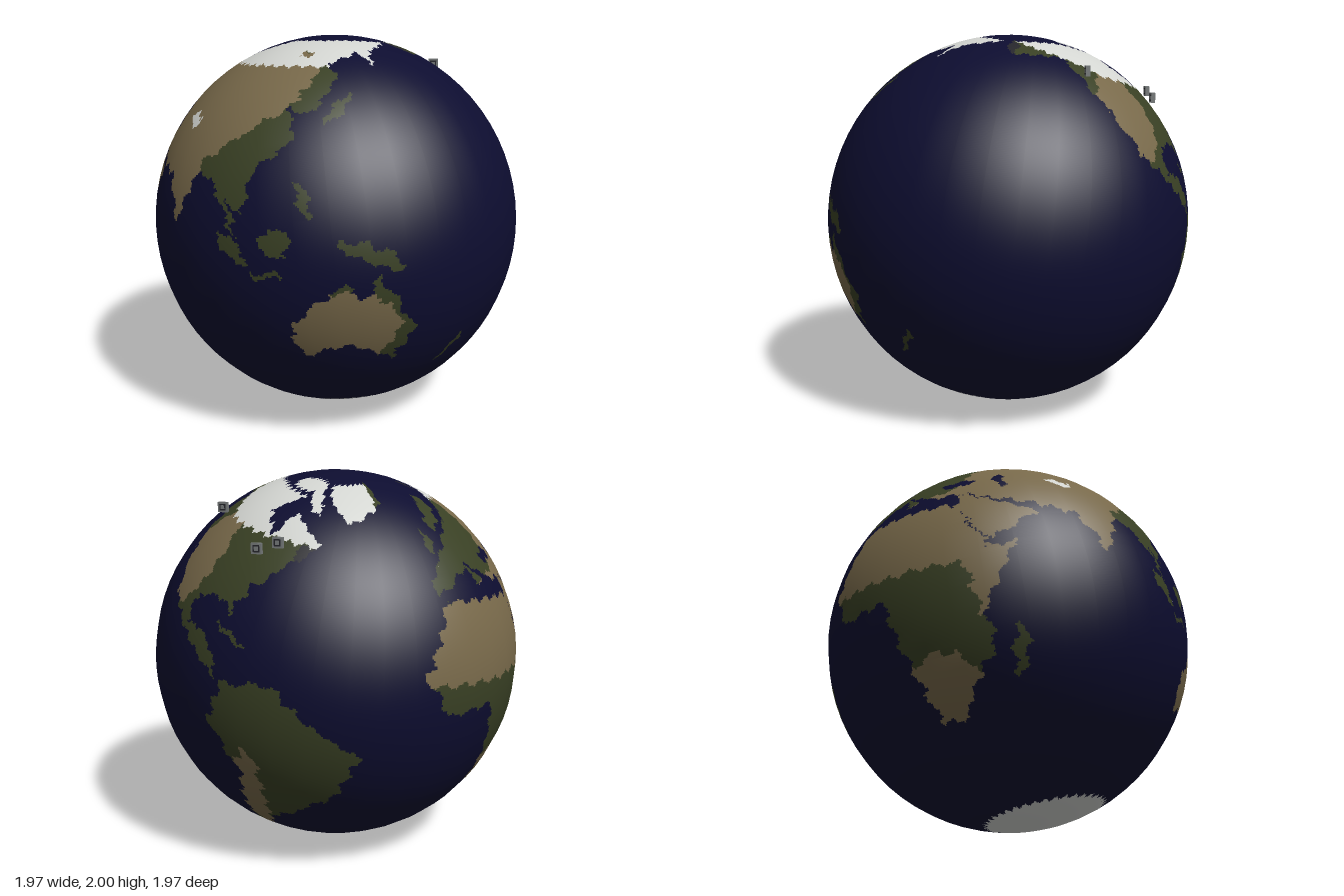
import * as THREE from 'three';

const { degToRad } = THREE.MathUtils;
const mat = (name, color) => new THREE.MeshStandardMaterial({ name, color });

// Region tests in lon, lat degrees: a coarse outline, or a turned oval
function coast(p) {
  return (x, y) => {
    let hit = false;
    for (let i = 0, j = p.length - 2; i < p.length; j = i, i += 2) {
      const yi = p[i + 1], yj = p[j + 1];
      if ((yi > y) !== (yj > y) && x < p[i] + (p[j] - p[i]) * (y - yi) / (yj - yi)) hit = !hit;
    }
    return hit;
  };
}
function oval(cx, cy, rx, ry, turn = 0) {
  const c = Math.cos(degToRad(turn)), s = Math.sin(degToRad(turn));
  return (x, y) => Math.hypot(((x - cx) * c + (y - cy) * s) / rx, ((y - cy) * c - (x - cx) * s) / ry) < 1;
}

const novaya = oval(59, 74, 7, 1.5, 25);
const land = Object.values({
  africa: coast([-6,36,33,31,43,11,51,12,39,-6,40,-16,26,-34,18,-34,9,4,-8,4,-17,15]),
  eurasia: coast([-9,37,-9,43,9,55,44,67,104,77,140,72,190,66,163,60,157,51,156,60,136,55,140,50,127,36,119,39,122,30,108,20,105,9,100,14,103,2,96,17,88,22,78,8,72,21,48,30,36,36,27,37,13,45]),
  arabia: coast([36,36,34,29,43,13,59,22]),
  australia: coast([114,-23,115,-34,131,-31,146,-39,153,-28,142,-11,138,-17,131,-12]),
  northAmerica: coast([-167,66,-128,70,-82,69,-94,60,-80,52,-77,62,-56,52,-76,36,-81,26,-84,30,-97,28,-97,19,-88,20,-78,8,-110,24,-124,42,-134,58,-163,56]),
  southAmerica: coast([-77,8,-62,11,-35,-7,-41,-22,-62,-40,-68,-54,-74,-50,-70,-18,-81,-5]),
  greenland: coast([-72,78,-44,60,-20,70,-20,82]),
  antarctica: (x, y) => y < -71.5 + 4.5 * Math.cos(degToRad(x - 80)),
  scandinavia: oval(18, 64.5, 14, 3.5, 25),
  italy: oval(14, 41, 5, 1.2, -45),
  britain: oval(-2.5, 54, 2, 4),
  madagascar: oval(46.8, -19, 1.9, 6.8, -12),
  sumatra: oval(101, 0, 7.5, 1.7, -45),
  borneo: oval(114, 1, 4, 4.5),
  java: oval(110, -7.5, 6, 0.8),
  newGuinea: oval(141, -5, 10, 2.2, -25),
  philippines: oval(123, 12, 1.5, 6, 20),
  japan: oval(137, 37, 8, 1.4, 42),
  newZealand: oval(173, -41, 6, 1.3, 50),
  arcticIslands: oval(-98, 75, 24, 4),
  baffin: oval(-72, 68.5, 11, 3, -30),
  cuba: oval(-77, 21, 7, 0.8, -18),
  novaya,
});
const blackSea = oval(34.5, 43.3, 6.5, 2), caspianSea = oval(51, 41.5, 2, 5);

// Ground cover on the land, topmost first; uncovered land is forest
const covers = {
  tundra: [novaya, oval(-58, 47.5, 8, 3.5), oval(-165, 60, 6, 6), oval(170, 71, 25, 2.2, -5)],
  snow: [
    (x, y) => y < -60,
    (x, y) => x < -25 && y > 51 + Math.max(0, -112 - x) * 0.3,
    (x, y) => x > 40 && y > 72.5 - 0.14 * x && !oval(126, 62, 5, 1.6)(x, y),
    oval(75, 38.5, 5, 1.9, -25),
  ],
  dryland: [
    coast([-20,14,35,8,38,-8,60,0,78,5,90,26,120,39,140,62,50,70,34,40,-20,34]),
    oval(22, -25, 12, 10), oval(128, -26, 20, 12), oval(-110, 38, 13, 16), oval(-68, -32, 5, 22),
  ],
};

function coverAt(lon, lat) {
  // two ripples roughen the coasts and borders
  const x = lon + Math.sin(lat * 0.9 + lon * 0.4) + 0.4 * Math.sin(lat * 3);
  const y = lat + 0.7 * Math.sin(lon * 0.8 - lat * 0.4) + 0.3 * Math.sin(lon * 2.6);
  const at = region => region(x, y);
  if (!land.some(at) || blackSea(x, y) || caspianSea(x, y)) return 'ocean';
  return Object.keys(covers).find(k => covers[k].some(at)) ?? 'forest';
}

// Point on the faceted globe: facets of 10 by 5 degrees, straight between corners
const EQUATOR = 0.988, CENTRE_LON = 77, WEST = -170, EAST = 190, STEP = 0.5, FLON = 10, FLAT = 5;
function corner(lon, lat) {
  const p = degToRad(lat), l = degToRad(lon - CENTRE_LON);
  return new THREE.Vector3(EQUATOR * Math.cos(p) * Math.sin(l), Math.sin(p), EQUATOR * Math.cos(p) * Math.cos(l));
}
function surface(lon, lat, fx, fy) {
  const s = (lon - fx) / FLON, t = (lat - fy) / FLAT;
  const low = corner(fx, fy).lerp(corner(fx + FLON, fy), s);
  return low.lerp(corner(fx, fy + FLAT).lerp(corner(fx + FLON, fy + FLAT), s), t);
}

function createGlobe(materials) {
  const data = {};
  for (const k in materials) data[k] = { pos: [], nor: [] };
  const strip = (cover, a, b, lat) => {
    const fx = Math.floor(a / FLON) * FLON, fy = Math.floor(lat / FLAT) * FLAT;
    const [p, q, r, s] = [[a, lat], [b, lat], [b, lat + STEP], [a, lat + STEP]].map(([x, y]) => surface(x, y, fx, fy));
    for (const v of [p, q, r, p, r, s]) {
      data[cover].pos.push(...v.toArray());
      data[cover].nor.push(...v.clone().normalize().toArray());
    }
  };
  // each row is cut into strips of one cover, never crossing a facet edge
  for (let lat = -90; lat < 90; lat += STEP) {
    let start = WEST, cover = coverAt(WEST + STEP / 2, lat + STEP / 2);
    for (let lon = WEST + STEP; lon <= EAST; lon += STEP) {
      const next = coverAt(lon + STEP / 2, lat + STEP / 2);
      if (next === cover && lon % FLON !== 0) continue;
      strip(cover, start, lon, lat);
      start = lon;
      cover = next;
    }
  }
  const globe = new THREE.Group();
  globe.name = 'globe';
  for (const k in materials) {
    const g = new THREE.BufferGeometry();
    g.setAttribute('position', new THREE.Float32BufferAttribute(data[k].pos, 3));
    g.setAttribute('normal', new THREE.Float32BufferAttribute(data[k].nor, 3));
    const mesh = new THREE.Mesh(g, materials[k]);
    mesh.name = k;
    globe.add(mesh);
  }
  return globe;
}

// Small square place marker with an inset ring on both faces
function createMarker(grey, dark) {
  const marker = new THREE.Group();
  marker.name = 'marker';
  const box = (name, size, depth, material) => {
    const mesh = new THREE.Mesh(new THREE.BoxGeometry(size, size, depth), material);
    mesh.name = name;
    marker.add(mesh);
  };
  box('markerFrame', 0.052, 0.022, grey);
  box('markerRing', 0.034, 0.024, dark);
  box('markerCentre', 0.02, 0.026, grey);
  return marker;
}

export function createModel() {
  const model = new THREE.Group();
  model.name = 'earthGlobe';
  const materials = {
    ocean: mat('ocean navy', 0x0d0d30), forest: mat('forest olive', 0x394024), dryland: mat('dryland tan', 0x78694a),
    snow: mat('snow white', 0xd4d6d2), tundra: mat('tundra grey', 0x26262b),
  };
  const globe = createGlobe(materials);
  globe.rotation.z = degToRad(11);
  globe.position.y = 1;
  model.add(globe);

  const grey = mat('marker grey', 0x777b7b);
  for (const [x, y, z] of [[0.1, 1.82, -0.61], [-0.41, 1.67, -0.66], [-0.475, 1.7, -0.58]]) {
    const marker = createMarker(grey, materials.tundra);
    marker.position.set(x, y, z);
    marker.rotation.y = Math.PI / 4;
    model.add(marker);
  }
  return model;
}
